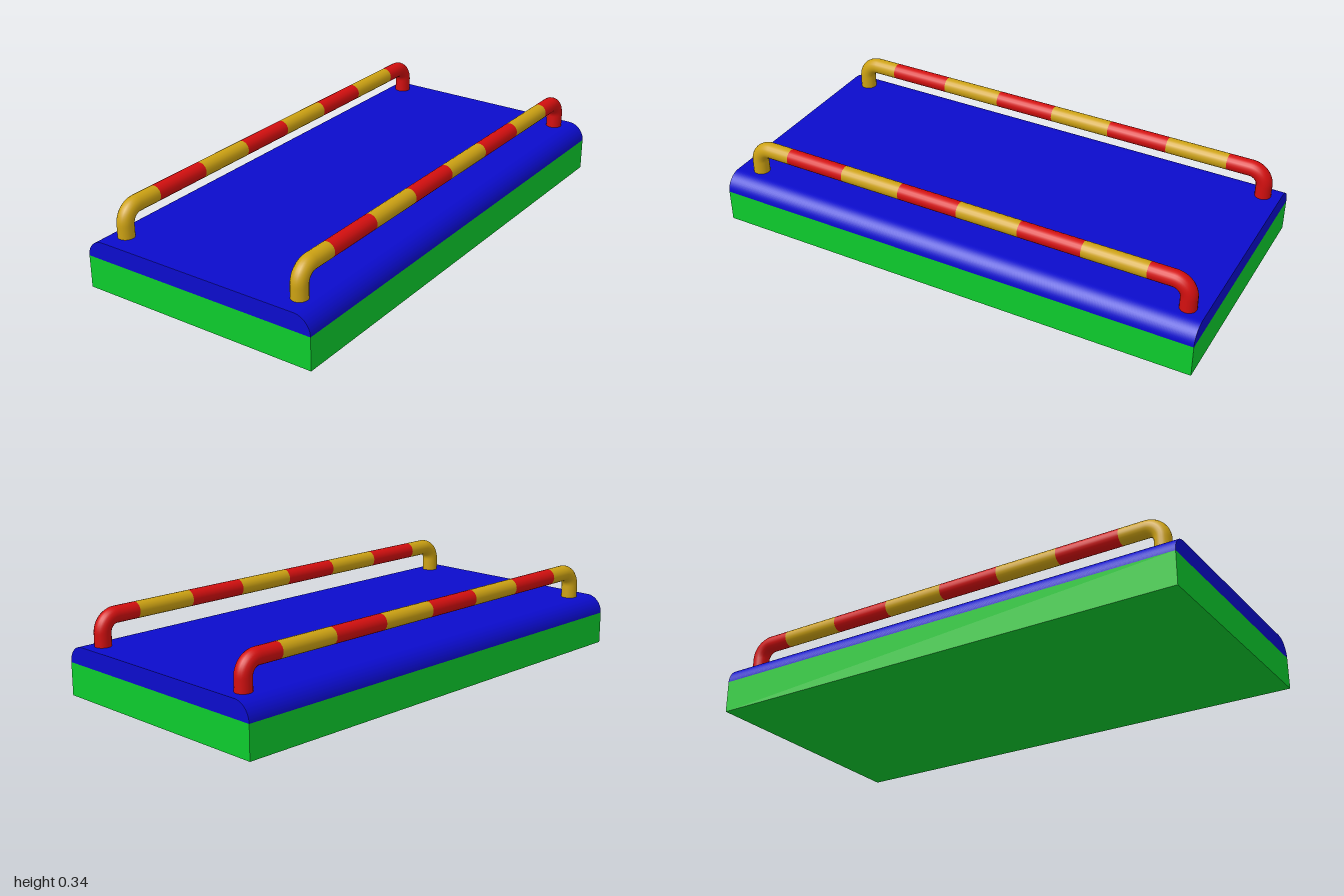
import * as THREE from 'three';

const mat = (name, color) => {
  const m = new THREE.MeshStandardMaterial({ color });
  m.name = name;
  return m;
};

export function createModel() {
  const green = mat('green', 0x0dcc2d);
  const blue = mat('blue', 0x0b0bcc);
  const red = mat('red', 0xd40f0f);
  const yellow = mat('yellow', 0xcda213);

  const model = new THREE.Group();
  model.name = 'platform';
  const add = (parent, name, geometry, material) => {
    const mesh = new THREE.Mesh(geometry, material);
    mesh.name = name;
    parent.add(mesh);
    return mesh;
  };

  // Base slab
  add(model, 'base', new THREE.BoxGeometry(1, 0.13, 2), green).position.y = 0.065;

  // Deck with rounded long edges
  const r = 0.07;
  const profile = new THREE.Shape();
  profile.moveTo(-0.5, 0.13);
  profile.lineTo(0.5, 0.13);
  profile.absarc(0.5 - r, 0.13, r, 0, Math.PI / 2, false);
  profile.absarc(-0.5 + r, 0.13, r, Math.PI / 2, Math.PI, false);
  const deck = new THREE.ExtrudeGeometry(profile, { depth: 2, bevelEnabled: false, curveSegments: 16 });
  add(model, 'deck', deck.translate(0, 0, -1), blue);

  // Striped handrails, bent down to the deck at both ends
  const tube = 0.0325, barY = 0.31, bend = 0.06, k = bend * 0.448;
  const front = 0.91, back = -0.93, firstStripe = 0.752, step = 0.255, stripes = 6;
  const v = (y, z) => new THREE.Vector3(0, y, z);

  // Leg, quarter bend and short straight up to the first stripe boundary
  const endPath = (z, inner) => {
    const s = Math.sign(inner - z);
    const path = new THREE.CurvePath();
    path.add(new THREE.LineCurve3(v(0.19, z), v(barY - bend, z)));
    path.add(new THREE.CubicBezierCurve3(
      v(barY - bend, z), v(barY - k, z), v(barY, z + s * k), v(barY, z + s * bend)));
    path.add(new THREE.LineCurve3(v(barY, z + s * bend), v(barY, inner)));
    return path;
  };

  for (const [name, x] of [['rightRail', -0.395], ['leftRail', 0.39]]) {
    const rail = new THREE.Group();
    rail.name = name;
    rail.position.x = x;
    add(rail, 'frontEnd', new THREE.TubeGeometry(endPath(front, firstStripe), 36, tube, 20), yellow);
    for (let i = 0; i < stripes; i++) {
      const z = firstStripe - i * step;
      const line = new THREE.LineCurve3(v(barY, z), v(barY, z - step));
      add(rail, 'stripe' + (i + 1), new THREE.TubeGeometry(line, 1, tube, 20), i % 2 ? yellow : red);
    }
    const lastStripe = firstStripe - stripes * step;
    add(rail, 'backEnd', new THREE.TubeGeometry(endPath(back, lastStripe), 36, tube, 20), red);
    model.add(rail);
  }
  return model;
}
